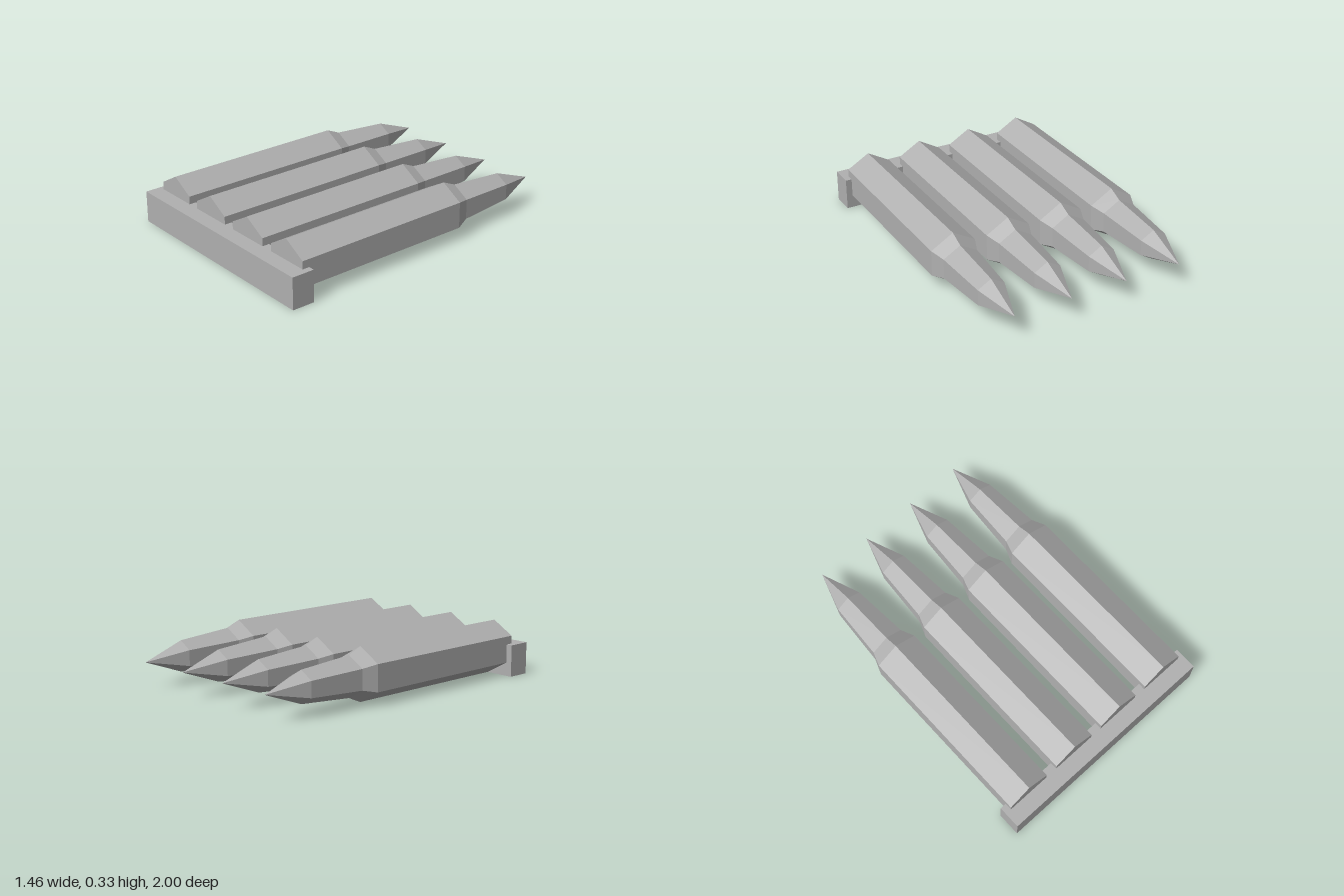
import * as THREE from 'three';

export function createModel() {
  const model = new THREE.Group();
  const grey = new THREE.MeshStandardMaterial({ color: 0xb0b0b0 });
  grey.name = 'plain grey';

  // Rear cross bar that ties the row together
  const bar = new THREE.Mesh(new THREE.BoxGeometry(1.46, 0.2, 0.145), grey);
  bar.name = 'crossBar';
  bar.position.set(0, 0.1, 0.9275);
  model.add(bar);

  // Six-sided pointed round: [radius, distance along its axis], base to tip
  const profile = [
    [0, -0.9], [0.165, -0.9], [0.165, 0.28], [0.126, 0.37], [0.098, 0.735], [0, 1],
  ].map(([r, d]) => new THREE.Vector2(r, d));

  // Lay the axis along -z with a ridge on top, then facet the faces
  const roundGeometry = new THREE.LatheGeometry(profile, 6).rotateX(-Math.PI / 2).toNonIndexed();
  roundGeometry.computeVertexNormals();

  for (let i = 0; i < 4; i++) {
    const round = new THREE.Mesh(roundGeometry, grey);
    round.name = `pointedRound${i + 1}`;
    round.position.set((i - 1.5) * 0.365, 0.167, 0);
    model.add(round);
  }

  return model;
}
